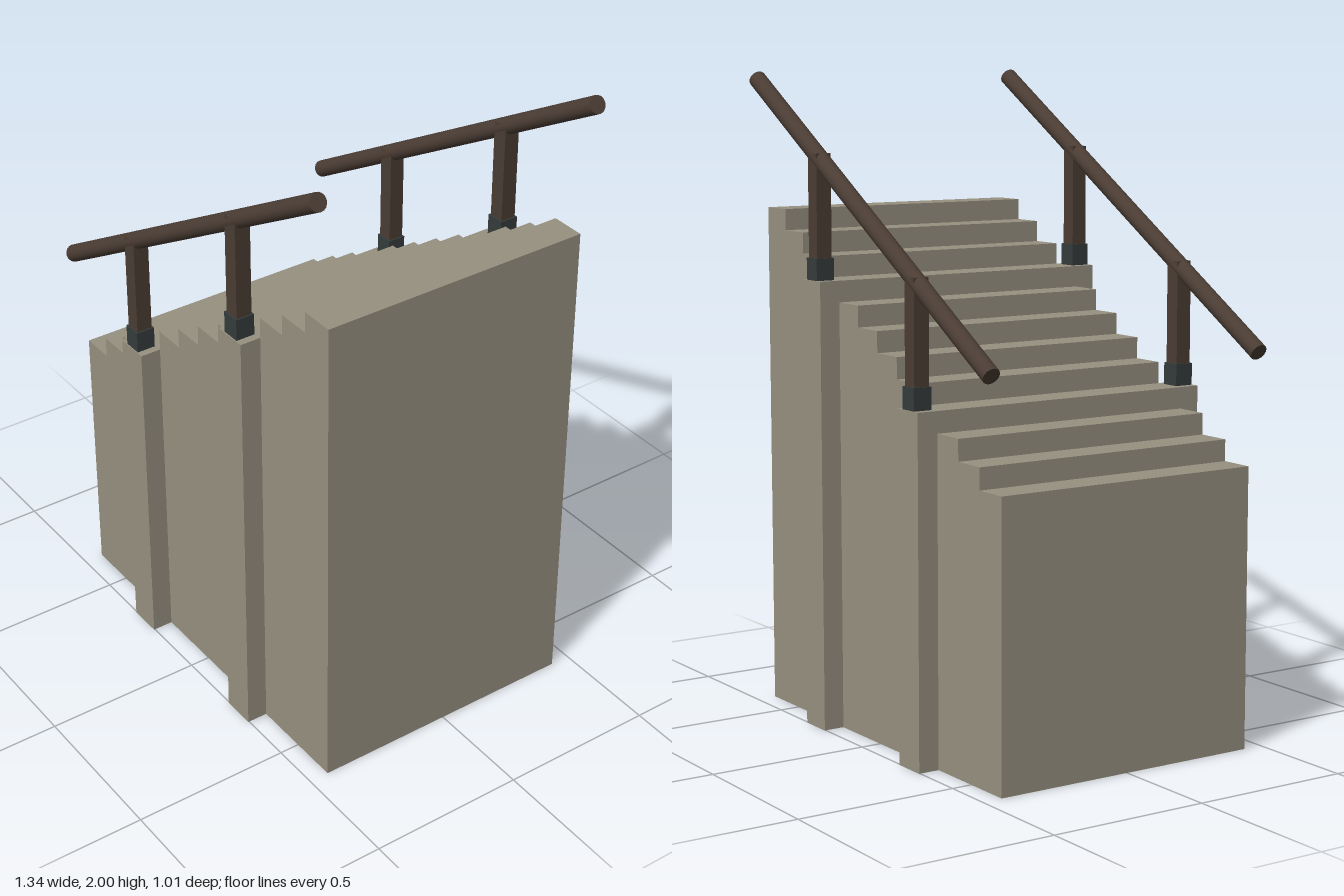
import * as THREE from 'three';

const STEPS = 12, HALF = 0.655, TREAD = (2 * HALF) / STEPS;
const BASE = 0.857, RISE = 0.0655;
const WALL_Z = 0.437, RAIL_Z = 0.47;
const stepTop = (i) => BASE + i * RISE;

export function createModel() {
  const model = new THREE.Group();
  model.name = 'staircase';
  const stone = new THREE.MeshStandardMaterial({ color: 0x979180 });
  const wood = new THREE.MeshStandardMaterial({ color: 0x4b3d34 });
  const iron = new THREE.MeshStandardMaterial({ color: 0x353b3c });

  const add = (parent, name, geometry, material, x, y, z) => {
    const mesh = new THREE.Mesh(geometry, material);
    mesh.name = name;
    mesh.position.set(x, y, z);
    parent.add(mesh);
    return mesh;
  };
  const box = (parent, name, material, x, z, w, d, y0, y1) =>
    add(parent, name, new THREE.BoxGeometry(w, y1 - y0, d), material, x, (y0 + y1) / 2, z);

  // Solid flight: stepped outline extruded across the width
  const outline = new THREE.Shape();
  outline.moveTo(-HALF, 0);
  outline.lineTo(HALF, 0);
  for (let i = STEPS - 1; i >= 0; i--) {
    outline.lineTo(-HALF + (i + 1) * TREAD, stepTop(i));
    outline.lineTo(-HALF + i * TREAD, stepTop(i));
  }
  outline.closePath();
  const flight = new THREE.ExtrudeGeometry(outline, { depth: 2 * WALL_Z, bevelEnabled: false });
  add(model, 'steps', flight, stone, 0, 0, -WALL_Z);

  // One railing on each side
  for (const side of [1, -1]) {
    const railing = new THREE.Group();
    railing.name = side > 0 ? 'frontRailing' : 'backRailing';
    model.add(railing);
    const z = side * RAIL_Z;

    // Buttress, iron shoe and post beside the fourth and ninth steps
    for (const i of [3, 8]) {
      const x = -HALF + (i + 0.5) * TREAD, top = stepTop(i);
      box(railing, 'buttress', stone, x, z, TREAD, 0.066, 0, top);
      box(railing, 'postShoe', iron, x, z, 0.06, 0.06, top, top + 0.067);
      box(railing, 'post', wood, x, z, 0.05, 0.05, top + 0.06, top + 0.38);
    }

    // Sloping round handrail
    const run = 2 * 0.654, climb = 0.785;
    const rail = new THREE.CylinderGeometry(0.027, 0.027, Math.hypot(run, climb), 16);
    add(railing, 'handrail', rail, wood, 0, 1.584, z).rotation.z = -Math.atan2(run, climb);
  }
  return model;
}
